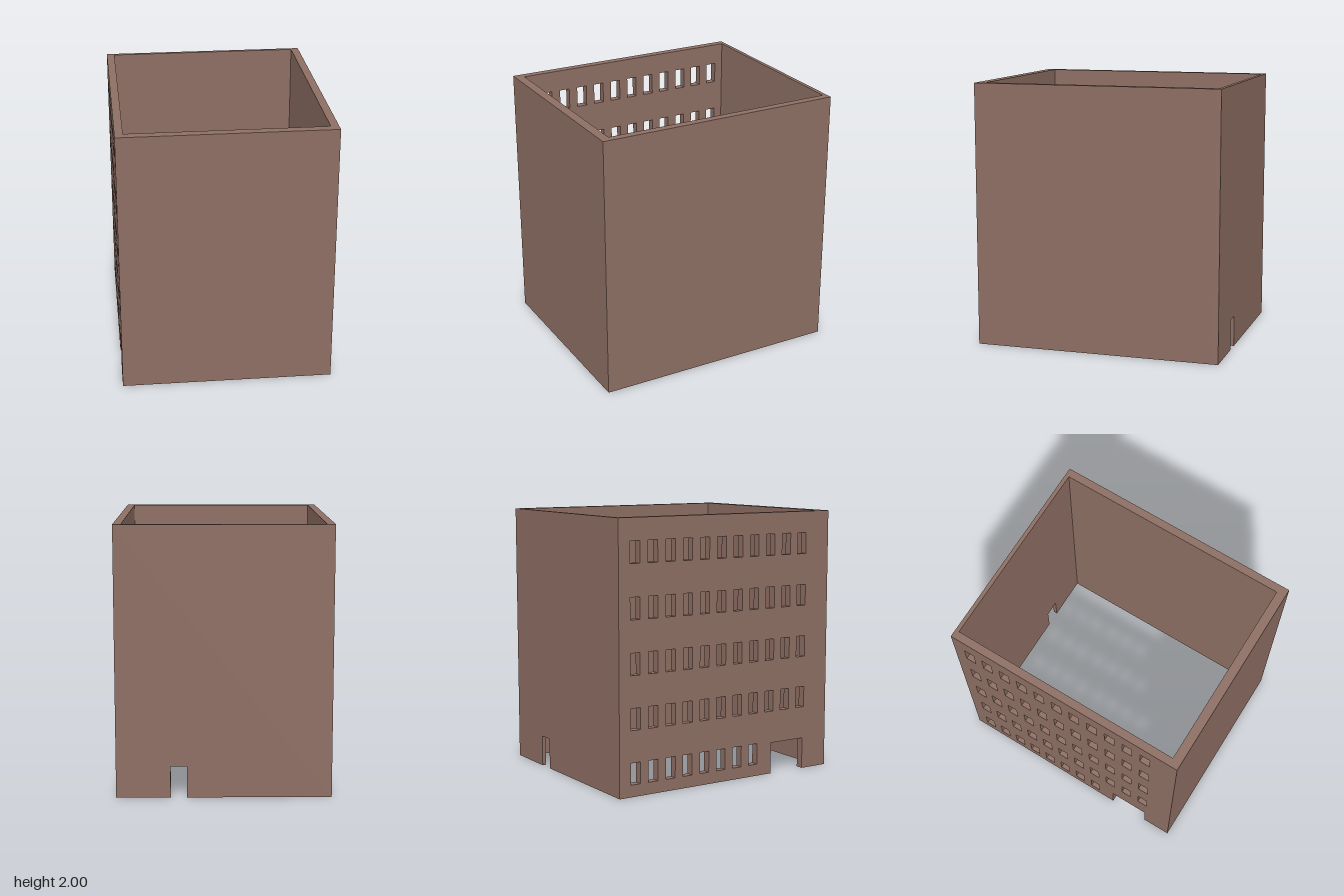
import * as THREE from 'three';

const X = 0.79, Z = 0.94, H = 2;              // outer half width, half depth, height
const SIDE = 0.06, FRONT = 0.07, BACK = 0.03; // wall thicknesses

// Wall outline from a to b with a doorway cut up from the ground
function wallShape(a, b, door) {
  const s = new THREE.Shape();
  s.moveTo(a, 0);
  if (door) {
    s.lineTo(door.from, 0);
    s.lineTo(door.from, door.height);
    s.lineTo(door.to, door.height);
    s.lineTo(door.to, 0);
  }
  s.lineTo(b, 0);
  s.lineTo(b, H);
  s.lineTo(a, H);
  s.closePath();
  return s;
}

function rectHole(x, y, w, h) {
  const p = new THREE.Path();
  p.moveTo(x, y);
  p.lineTo(x, y + h);
  p.lineTo(x + w, y + h);
  p.lineTo(x + w, y);
  p.closePath();
  return p;
}

const extrude = (shape, depth) =>
  new THREE.ExtrudeGeometry(shape, { depth, bevelEnabled: false });

export function createModel() {
  const group = new THREE.Group();
  group.name = 'buildingShell';
  const brown = new THREE.MeshStandardMaterial({ color: 0x8d6e63 });
  brown.name = 'brown wall';

  const add = (name, geometry, x, y, z) => {
    const mesh = new THREE.Mesh(geometry, brown);
    mesh.name = name;
    mesh.position.set(x, y, z);
    group.add(mesh);
  };

  // Plain front and left walls
  const innerDepth = 2 * Z - FRONT - BACK;
  add('frontWall', new THREE.BoxGeometry(2 * X, H, FRONT), 0, H / 2, Z - FRONT / 2);
  add('leftWall', new THREE.BoxGeometry(SIDE, H, innerDepth), X - SIDE / 2, H / 2, (BACK - FRONT) / 2);

  // Back wall with a narrow doorway
  const backShape = wallShape(-X, X, { from: 0.27, to: 0.39, height: 0.235 });
  add('backWall', extrude(backShape, BACK), 0, 0, -Z);

  // Right wall: five rows of windows, the lowest shortened by a wide doorway
  const rightShape = wallShape(-Z + BACK, Z - FRONT, { from: 0.41, to: 0.715, height: 0.24 });
  for (let row = 0; row < 5; row++) {
    const count = row === 0 ? 8 : 11;
    for (let i = 0; i < count; i++) {
      rightShape.holes.push(rectHole(-0.845 + i * 0.149, 0.09 + row * 0.397, 0.08, 0.16));
    }
  }
  const rightGeometry = extrude(rightShape, SIDE).rotateY(-Math.PI / 2);
  add('rightWall', rightGeometry, -X + SIDE, 0, 0);

  return group;
}
